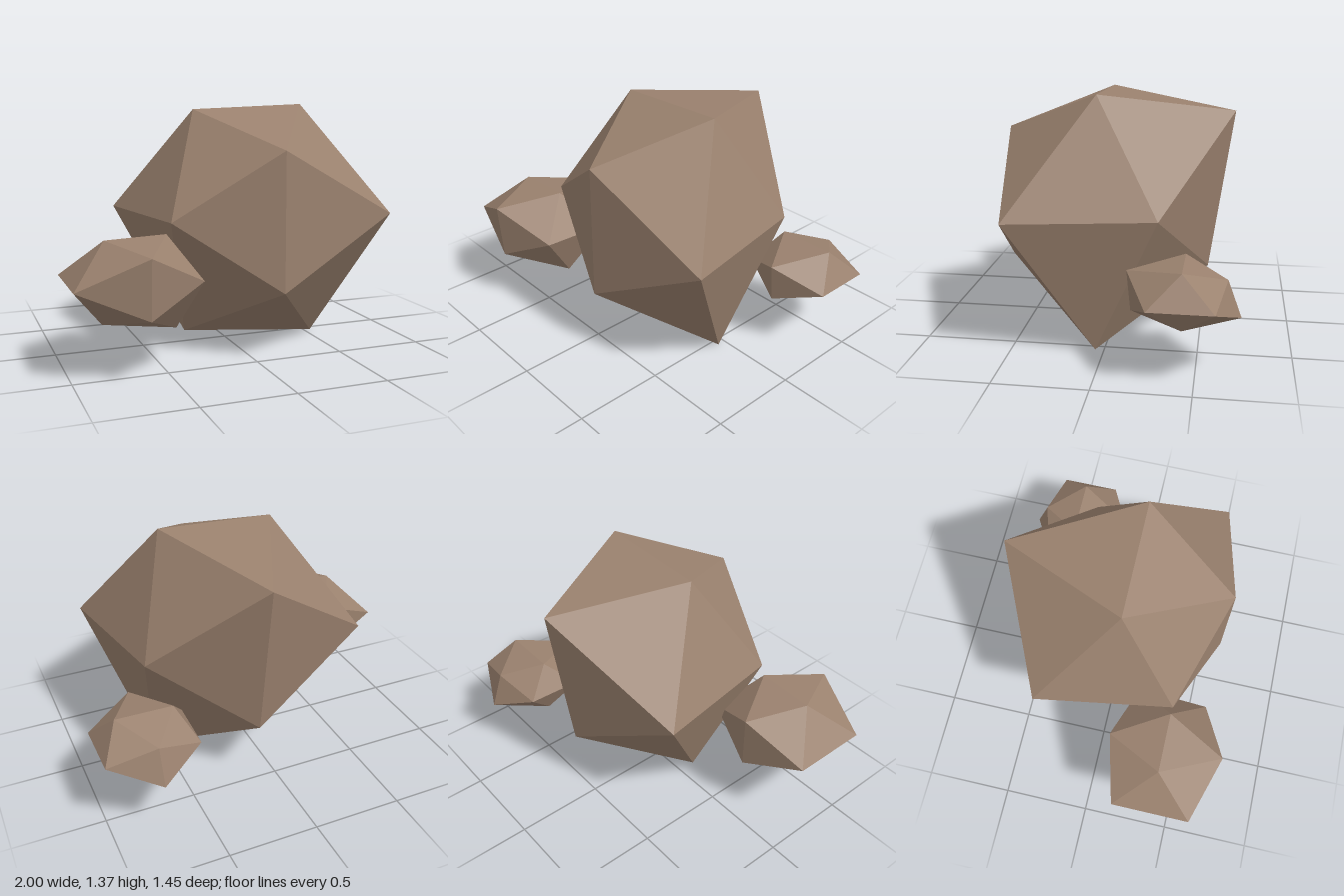
import * as THREE from 'three';

const T = (1 + Math.sqrt(5)) / 2;

// Corner directions and triangles of a regular twenty-sided rock
const CORNERS = [
  [-1, T, 0], [1, T, 0], [-1, -T, 0], [1, -T, 0],
  [0, -1, T], [0, 1, T], [0, -1, -T], [0, 1, -T],
  [T, 0, -1], [T, 0, 1], [-T, 0, -1], [-T, 0, 1],
];
const FACES = [
  0, 11, 5, 0, 5, 1, 0, 1, 7, 0, 7, 10, 0, 10, 11,
  1, 5, 9, 5, 11, 4, 11, 10, 2, 10, 7, 6, 7, 1, 8,
  3, 9, 4, 3, 4, 2, 3, 2, 6, 3, 6, 8, 3, 8, 9,
  4, 9, 5, 2, 4, 11, 6, 2, 10, 8, 6, 7, 9, 8, 1,
];

// Each rock pushes the corners in or out by its own sizes, then squashes in y
function makeRock(name, material, center, squash, sizes) {
  const points = FACES.flatMap((i) => {
    const [x, y, z] = CORNERS[i];
    return [x * sizes[i], y * sizes[i] * squash, z * sizes[i]];
  });
  const geometry = new THREE.BufferGeometry();
  geometry.setAttribute('position', new THREE.Float32BufferAttribute(points, 3));
  geometry.computeVertexNormals();
  const rock = new THREE.Mesh(geometry, material);
  rock.name = name;
  rock.position.set(...center);
  return rock;
}

export function createModel() {
  const stone = new THREE.MeshStandardMaterial({ color: 0x9a816e });
  stone.name = 'brown stone';
  stone.flatShading = true;

  const group = new THREE.Group();
  group.name = 'rockCluster';
  group.add(
    makeRock('mainRock', stone, [0.115, 0.765, 0.048], 1.11,
      [0.322, 0.336, 0.382, 0.426, 0.341, 0.338, 0.36, 0.439, 0.344, 0.432, 0.424, 0.346]),
    makeRock('rightRock', stone, [-0.64, 0.49, 0.39], 0.8,
      [0.16, 0.17, 0.178, 0.22, 0.191, 0.205, 0.19, 0.192, 0.206, 0.193, 0.222, 0.222]),
    makeRock('leftRock', stone, [0.73, 0.42, -0.433], 0.62,
      [0.158, 0.162, 0.169, 0.14, 0.165, 0.178, 0.18, 0.136, 0.166, 0.166, 0.155, 0.16]),
  );
  return group;
}
